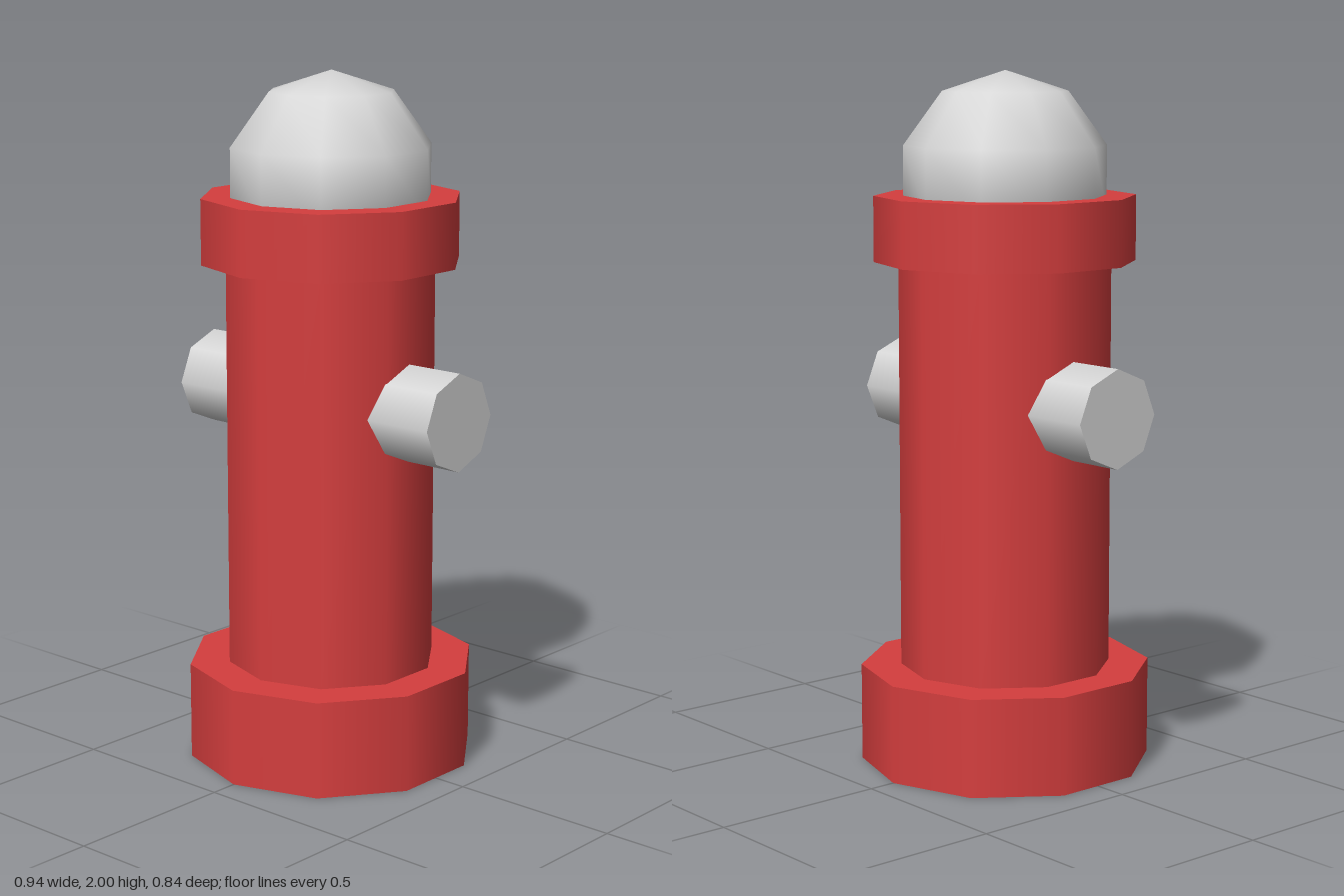
import * as THREE from 'three';

export function createModel() {
  const red = new THREE.MeshStandardMaterial({ color: 0xd53e3e });
  red.name = 'red paint';
  const grey = new THREE.MeshStandardMaterial({ color: 0xd6d6d6 });
  grey.name = 'light grey metal';

  const group = new THREE.Group();
  group.name = 'fireHydrant';

  const add = (name, geometry, material, y) => {
    const mesh = new THREE.Mesh(geometry, material);
    mesh.name = name;
    mesh.position.y = y;
    group.add(mesh);
    return mesh;
  };

  // Ten-sided drum between two heights
  const drum = (name, radius, y0, y1) =>
    add(name, new THREE.CylinderGeometry(radius, radius, y1 - y0, 10), red, (y0 + y1) / 2);

  drum('base', 0.421, 0, 0.283);
  drum('barrel', 0.305, 0.283, 1.46);
  drum('collar', 0.375, 1.46, 1.648);

  // Dome: coarse sphere sunk into the collar, a corner facing front
  const dome = new THREE.SphereGeometry(0.305, 10, 5).rotateY(Math.PI / 2);
  add('dome', dome, grey, 1.695);

  // Side outlets, mirrored, reaching into the barrel
  for (const side of [1, -1]) {
    const outlet = new THREE.CylinderGeometry(0.14, 0.14, 0.3, 8).rotateZ(-side * Math.PI / 2);
    add(side > 0 ? 'leftOutlet' : 'rightOutlet', outlet, grey, 1.06).position.x = side * 0.32;
  }

  return group;
}
